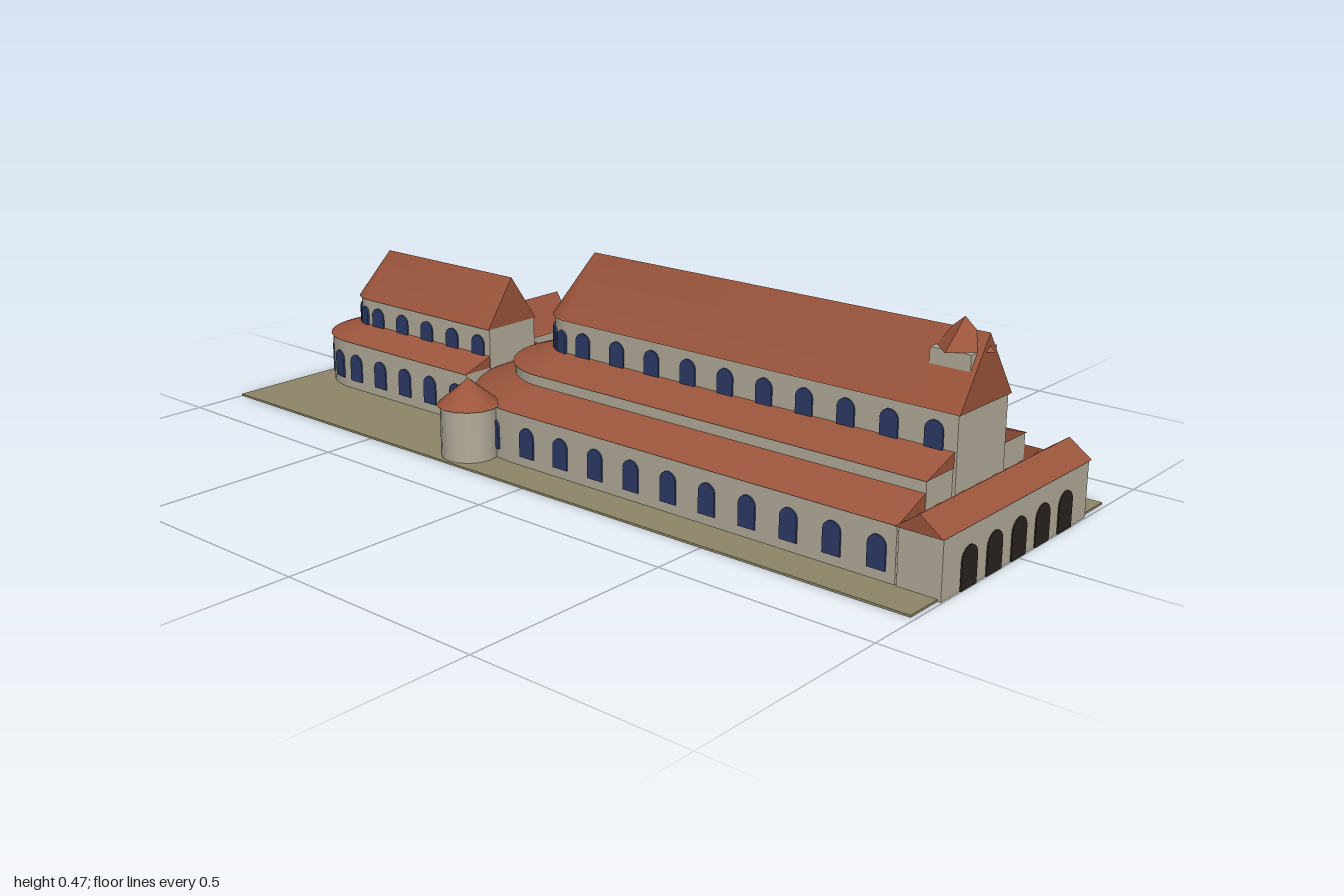
import * as THREE from 'three';
import { toCreasedNormals } from 'three/addons/utils/BufferGeometryUtils.js';

const mat = (color) => new THREE.MeshStandardMaterial({ color, roughness: 0.9 });
const STONE = mat(0xb5ae9c), ROOF = mat(0x9c553c), GLASS = mat(0x2c3a66);
const DARK = mat(0x2a231d), GROUND = mat(0x8f8768), TIMBER = mat(0x46382b);

function add(parent, name, geo, material, x = 0, y = 0, z = 0, ry = 0) {
  const m = new THREE.Mesh(geo, material);
  m.name = name;
  m.position.set(x, y, z);
  m.rotation.y = ry;
  parent.add(m);
  return m;
}

function box(parent, name, material, x0, x1, y0, y1, z0, z1) {
  return add(parent, name, new THREE.BoxGeometry(x1 - x0, y1 - y0, z1 - z0), material,
    (x0 + x1) / 2, (y0 + y1) / 2, (z0 + z1) / 2);
}

// Sweeps a [radius, height] profile down one side, round a half-circle apse and back; flat front end
function apsed(parent, name, material, profile, zFront, zApse) {
  const SEG = 24, n = profile.length, pos = [], idx = [];
  for (let i = -1; i <= SEG + 1; i++) {
    const a = Math.PI * THREE.MathUtils.clamp(i / SEG, 0, 1);
    const straight = i < 0 || i > SEG;
    for (const [r, y] of profile) {
      pos.push(r * Math.cos(a), y, straight ? zFront : zApse - r * Math.sin(a));
    }
  }
  for (let i = 0; i < SEG + 2; i++) {
    for (let j = 0; j < n - 1; j++) {
      const a = i * n + j, b = a + n;
      idx.push(a, b, a + 1, b, b + 1, a + 1);
    }
  }
  const geo = new THREE.BufferGeometry();
  geo.setAttribute('position', new THREE.Float32BufferAttribute(pos, 3));
  geo.setIndex(idx);
  const g = new THREE.Group();
  g.name = name;
  add(g, name + 'Shell', toCreasedNormals(geo, 0.5), material);
  const right = profile.map(([r, y]) => new THREE.Vector2(r, y));
  const left = profile.filter(([r]) => r > 0).reverse().map(([r, y]) => new THREE.Vector2(-r, y));
  add(g, name + 'Front', new THREE.ShapeGeometry(new THREE.Shape([...right, ...left])), material, 0, 0, zFront);
  parent.add(g);
}

// Gabled roof with its ridge along x
function gable(parent, name, x0, x1, y0, y1, z0, z1) {
  const h = (z1 - z0) / 2;
  const s = new THREE.Shape([new THREE.Vector2(-h, 0), new THREE.Vector2(h, 0), new THREE.Vector2(0, y1 - y0)]);
  const geo = new THREE.ExtrudeGeometry(s, { depth: x1 - x0, bevelEnabled: false });
  add(parent, name, geo, ROOF, x0, y0, (z0 + z1) / 2, Math.PI / 2);
}

// Thin round-headed panel centred on its position, facing +z before turning
function arch(parent, name, material, w, h, x, y, z, ry) {
  const s = new THREE.Shape();
  s.moveTo(-w / 2, 0);
  s.lineTo(w / 2, 0);
  s.lineTo(w / 2, h - w / 2);
  s.absarc(0, h - w / 2, w / 2, 0, Math.PI, false);
  const geo = new THREE.ExtrudeGeometry(s, { depth: 0.008, bevelEnabled: false, curveSegments: 8 });
  geo.translate(0, 0, -0.004);
  add(parent, name, geo, material, x, y, z, ry);
}

// Windows along both flanks
function sideWindows(parent, name, r, y, h, count, zStart, step) {
  for (let i = 0; i < count; i++) {
    for (const s of [1, -1]) {
      arch(parent, name, GLASS, 0.042, h, s * r, y, zStart - i * step, s * Math.PI / 2);
    }
  }
}

// Windows round an apse
function apseWindows(parent, name, r, y, w, h, count, zApse) {
  for (let i = 0; i < count; i++) {
    const a = Math.PI * (i + 0.5) / count;
    arch(parent, name, GLASS, w, h, r * Math.cos(a), y, zApse - r * Math.sin(a), a + Math.PI / 2);
  }
}

function mainChurch() {
  const g = new THREE.Group(), Z = -0.123;
  g.name = 'mainChurch';
  apsed(g, 'outerAisleWall', STONE, [[0.279, 0], [0.279, 0.125]], 0.895, Z);
  apsed(g, 'outerAisleRoof', ROOF, [[0.18, 0.125], [0.282, 0.125], [0.186, 0.163]], 0.897, Z);
  apsed(g, 'innerAisleWall', STONE, [[0.187, 0.12], [0.187, 0.188]], 0.898, Z);
  apsed(g, 'innerAisleRoof', ROOF, [[0.09, 0.188], [0.191, 0.188], [0.092, 0.221]], 0.9, Z);
  apsed(g, 'naveWall', STONE, [[0.093, 0], [0.093, 0.297]], 0.905, Z);
  apsed(g, 'naveRoof', ROOF, [[0, 0.297], [0.098, 0.297], [0, 0.442]], 0.91, Z);
  sideWindows(g, 'aisleWindow', 0.279, 0.027, 0.07, 10, 0.853, 0.103);
  apseWindows(g, 'aisleApseWindow', 0.279, 0.027, 0.042, 0.07, 7, Z);
  sideWindows(g, 'naveWindow', 0.093, 0.217, 0.06, 10, 0.853, 0.103);
  apseWindows(g, 'naveApseWindow', 0.093, 0.217, 0.032, 0.055, 8, Z);

  // Entrance porch across the front
  box(g, 'porchWall', STONE, -0.281, 0.281, 0, 0.126, 0.9, 0.997);
  gable(g, 'porchRoof', -0.287, 0.287, 0.126, 0.164, 0.894, 1);
  for (let i = -2; i <= 2; i++) arch(g, 'porchArch', DARK, 0.056, 0.087, i * 0.0935, 0, 0.996, 0);

  // Small bell turret on the front of the ridge
  box(g, 'bellTurret', STONE, -0.048, 0.048, 0.3, 0.405, 0.806, 0.898);
  const cap = new THREE.ConeGeometry(0.07, 0.06, 4).toNonIndexed();
  cap.computeVertexNormals();
  add(g, 'bellTurretRoof', cap, ROOF, 0, 0.435, 0.853);
  return g;
}

function rearChurch() {
  const g = new THREE.Group(), Z = -0.842, F = -0.397;
  g.name = 'rearChurch';
  apsed(g, 'rearAisleWall', STONE, [[0.154, 0], [0.154, 0.127]], F - 0.003, Z);
  apsed(g, 'rearAisleRoof', ROOF, [[0.07, 0.127], [0.158, 0.127], [0.075, 0.156]], F - 0.002, Z);
  apsed(g, 'rearNaveWall', STONE, [[0.076, 0], [0.076, 0.222]], F - 0.001, Z);
  apsed(g, 'rearNaveRoof', ROOF, [[0, 0.222], [0.081, 0.222], [0, 0.338]], F, Z);
  sideWindows(g, 'rearAisleWindow', 0.154, 0.027, 0.07, 5, -0.438, 0.092);
  apseWindows(g, 'rearAisleApseWindow', 0.152, 0.027, 0.042, 0.07, 7, Z);
  sideWindows(g, 'rearNaveWindow', 0.076, 0.153, 0.05, 5, -0.438, 0.092);
  apseWindows(g, 'rearNaveApseWindow', 0.076, 0.153, 0.027, 0.048, 8, Z);
  return g;
}

// Two-storey annex with a timber string course
function annex(name, x0, x1, eave, ridge, z0, z1, bandY) {
  const g = new THREE.Group();
  g.name = name;
  box(g, name + 'Wall', STONE, x0 + 0.006, x1 - 0.005, 0, eave, z0 + 0.005, z1 - 0.005);
  box(g, name + 'Band', TIMBER, x0 + 0.004, x1 - 0.003, bandY - 0.003, bandY + 0.003, z0 + 0.003, z1 - 0.003);
  gable(g, name + 'Roof', x0, x1, eave, ridge, z0, z1);
  return g;
}

export function createModel() {
  const model = new THREE.Group();
  model.name = 'churchComplex';
  box(model, 'groundSlab', GROUND, -0.372, 0.372, 0, 0.005, -1, 0.99);
  model.add(mainChurch(), rearChurch());
  model.add(annex('nearAnnex', 0.18, 0.314, 0.111, 0.183, -0.397, -0.295, 0.054));
  model.add(annex('farAnnex', 0.168, 0.33, 0.126, 0.212, -0.62, -0.505, 0.061));

  // Round baptistery beside the main apse
  const baptistery = new THREE.Group();
  baptistery.name = 'baptistery';
  baptistery.position.set(-0.3, 0, -0.237);
  add(baptistery, 'baptisteryWall', new THREE.CylinderGeometry(0.066, 0.066, 0.126, 16), STONE, 0, 0.063, 0);
  add(baptistery, 'baptisteryRoof', new THREE.ConeGeometry(0.073, 0.061, 16), ROOF, 0, 0.1565, 0);
  model.add(baptistery);
  return model;
}
